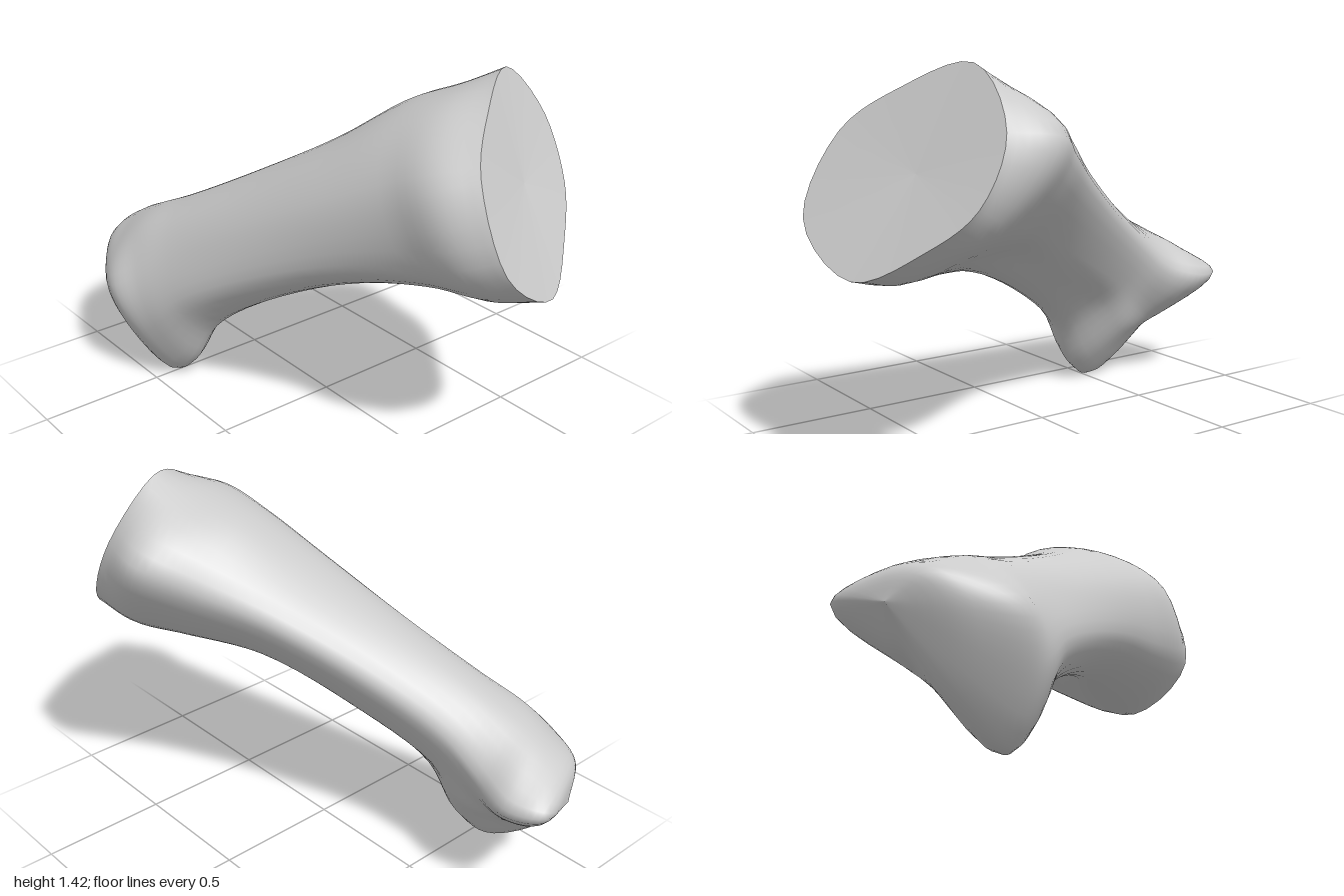
import * as THREE from 'three';

// Local frame of the bone: D runs along the shaft to the front, U sideways, V up
const D = new THREE.Vector3(0.366, 0.407, 0.837).normalize();
const V = new THREE.Vector3(0, 0.899, -0.437).normalize();
const U = new THREE.Vector3().crossVectors(V, D).normalize();
const place = (u, v, t) => new THREE.Vector3()
  .addScaledVector(U, u).addScaledVector(V, v).addScaledVector(D, t);

// Cross-sections from front to back: position along shaft, centre, 8 radii (every 45 degrees)
const START = 35;
const sections = [
  { t: 1.16, c: [-0.13, 0.64], r: [0.36, 0.41, 0.32, 0.37, 0.45, 0.41, 0.29, 0.31] },
  { t: 1.00, c: [-0.13, 0.64], r: [0.48, 0.40, 0.37, 0.42, 0.44, 0.38, 0.28, 0.32] },
  { t: 0.80, c: [-0.14, 0.66], r: [0.43, 0.38, 0.35, 0.37, 0.38, 0.31, 0.23, 0.27] },
  { t: 0.50, c: [-0.18, 0.68], r: [0.37, 0.30, 0.28, 0.29, 0.31, 0.25, 0.17, 0.21] },
  { t: 0.10, c: [-0.20, 0.68], r: [0.31, 0.26, 0.23, 0.23, 0.27, 0.24, 0.17, 0.19] },
  { t: -0.25, c: [-0.19, 0.66], r: [0.28, 0.26, 0.23, 0.22, 0.27, 0.28, 0.17, 0.18] },
  { t: -0.44, c: [-0.15, 0.62], r: [0.29, 0.30, 0.28, 0.27, 0.30, 0.37, 0.19, 0.16] },
  { t: -0.58, c: [-0.13, 0.60], r: [0.37, 0.32, 0.28, 0.30, 0.29, 0.37, 0.14, 0.14] },
  { t: -0.71, c: [-0.10, 0.68], r: [0.31, 0.21, 0.19, 0.18, 0.18, 0.24, 0.09, 0.12] },
];
const SIDES = 40, STEPS = 48;

function sectionRing({ t, c, r }) {
  const points = r.map((radius, i) => {
    const a = THREE.MathUtils.degToRad(START + i * 45);
    return place(c[0] + radius * Math.cos(a), c[1] + radius * Math.sin(a), t);
  });
  const curve = new THREE.CatmullRomCurve3(points, true);
  return Array.from({ length: SIDES }, (_, j) => curve.getPoint(j / SIDES));
}

// Joins a list of equal rings into a smooth skin
function skin(rings) {
  const index = [];
  for (let i = 0; i < rings.length - 1; i++) {
    for (let j = 0; j < SIDES; j++) {
      const a = i * SIDES + j, b = i * SIDES + (j + 1) % SIDES;
      index.push(a, a + SIDES, b, b, a + SIDES, b + SIDES);
    }
  }
  const geometry = new THREE.BufferGeometry().setFromPoints(rings.flat());
  geometry.setIndex(index);
  geometry.computeVertexNormals();
  return geometry;
}

export function createModel() {
  const group = new THREE.Group();
  group.name = 'toeBone';
  const material = new THREE.MeshStandardMaterial({ color: 0xcccccc });
  const add = (name, rings) => {
    const mesh = new THREE.Mesh(skin(rings), material);
    mesh.name = name;
    group.add(mesh);
  };

  // Shaft with flared base, upper head and lower knuckle, closed to a blunt pole
  const controlRings = sections.map(sectionRing);
  const pole = place(-0.05, 0.79, -0.765);
  const lines = Array.from({ length: SIDES }, (_, j) =>
    new THREE.CatmullRomCurve3([...controlRings.map(ring => ring[j]), pole]));
  add('shaft', Array.from({ length: STEPS + 1 }, (_, i) =>
    lines.map(line => line.getPoint(i / STEPS))));

  // Shallow, slightly dished joint face on the front
  const dish = place(-0.13, 0.64, 1.14);
  add('jointFace', [0, 0.35, 0.7, 1].map(k =>
    controlRings[0].map(p => dish.clone().lerp(p, k))));

  return group;
}
